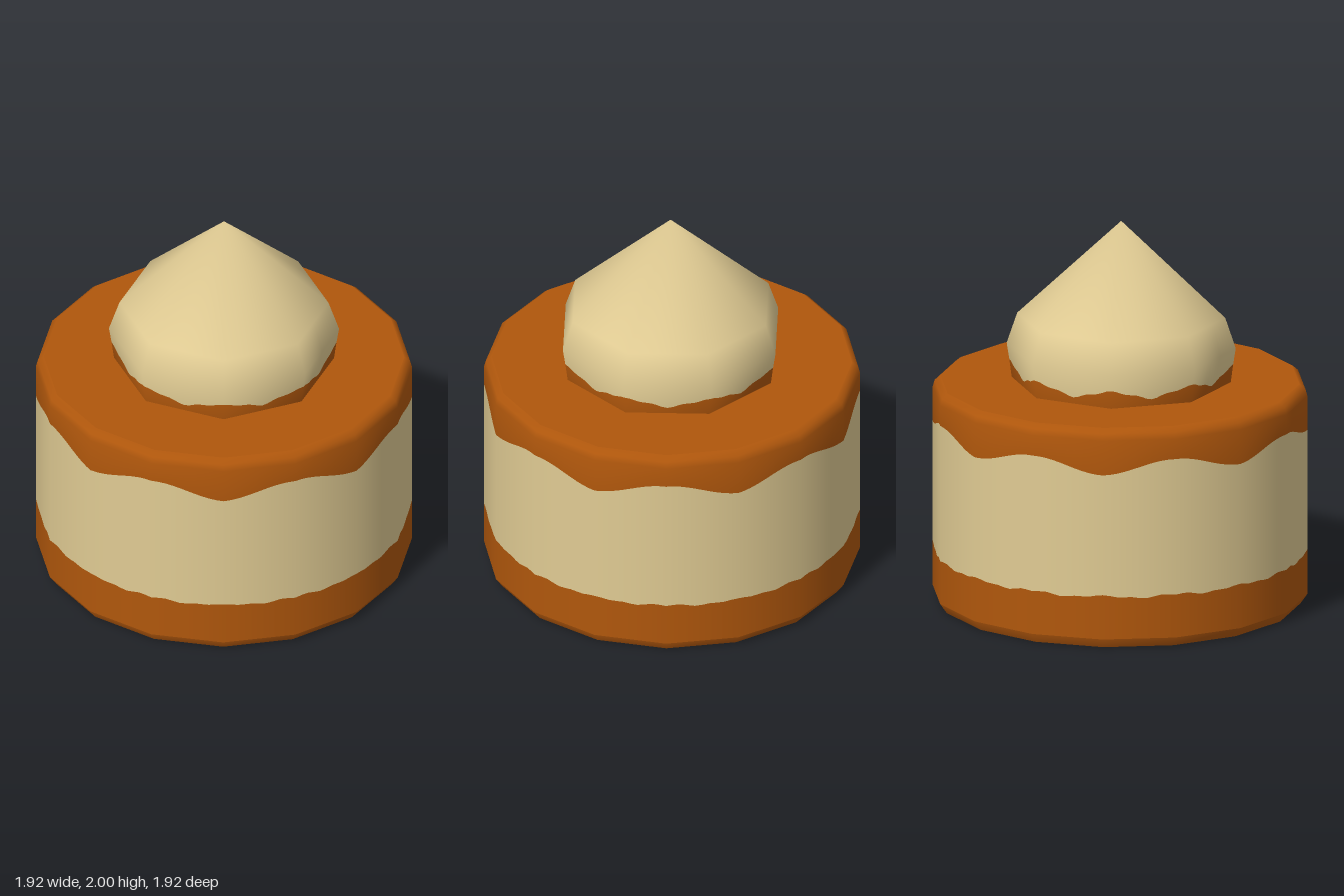
import * as THREE from 'three';

const sponge = new THREE.MeshStandardMaterial({ color: 0xb0570c });
sponge.name = 'caramel orange';
const cream = new THREE.MeshStandardMaterial({ color: 0xe0cb93 });
cream.name = 'cream';

// Faceted ring surface with smooth normals. Each row runs bottom to top and
// gives [radius, y, outward normal, upward normal], fixed or by angle.
function ringSurface(name, material, sides, sub, rows) {
  const pos = [], nor = [], index = [];
  const n = sides * sub;
  const step = (Math.PI * 2) / sides;
  for (const row of rows) {
    for (let i = 0; i <= n; i++) {
      const a = Math.floor(i / sub) * step, f = (i % sub) / sub;
      const [r, y, nr, ny] = typeof row === 'function' ? row(a + f * step) : row;
      const sx = Math.sin(a) * (1 - f) + Math.sin(a + step) * f;
      const sz = Math.cos(a) * (1 - f) + Math.cos(a + step) * f;
      const normal = new THREE.Vector3(sx * nr, ny, sz * nr).normalize();
      pos.push(sx * r, y, sz * r);
      nor.push(normal.x, normal.y, normal.z);
    }
  }
  for (let j = 0; j < rows.length - 1; j++) {
    for (let i = 0; i < n; i++) {
      const a = j * (n + 1) + i, d = a + n + 1;
      index.push(a, a + 1, d + 1, a, d + 1, d);
    }
  }
  const geo = new THREE.BufferGeometry();
  geo.setAttribute('position', new THREE.Float32BufferAttribute(pos, 3));
  geo.setAttribute('normal', new THREE.Float32BufferAttribute(nor, 3));
  geo.setIndex(index);
  const mesh = new THREE.Mesh(geo, material);
  mesh.name = name;
  return mesh;
}

function disc(name, radius, y, turn) {
  const mesh = new THREE.Mesh(new THREE.CircleGeometry(radius, 16), sponge);
  mesh.name = name;
  mesh.rotation.x = turn;
  mesh.position.y = y;
  return mesh;
}

export function createModel() {
  const model = new THREE.Group();
  model.name = 'smallCake';
  const R = 0.96;

  // Wavy borders between the colours
  const baseEdge = (t) => [R, 0.273 + 0.008 * Math.cos(16 * t) + 0.004 * Math.cos(40 * t), 1, 0];
  const icingEdge = (t) => [R, 0.957 - 0.038 * Math.cos(8 * t), 1, 0];
  const dollopEdge = (t) => {
    const y = 1.225 + 0.025 * Math.cos(8 * t) + 0.006 * Math.cos(24 * t);
    const k = (y - 1.15) / 0.19;
    return [0.56 + 0.025 * k, y, 1, -0.13 + 0.25 * k];
  };

  // Cake body
  model.add(
    disc('cakeUnderside', 0.925, 0, Math.PI / 2),
    ringSurface('bottomBevel', sponge, 16, 1, [[0.925, 0, 0.85, -0.5], [R, 0.05, 0.92, -0.3]]),
    ringSurface('cakeBase', sponge, 16, 10, [[R, 0.05, 1, 0], baseEdge]),
    ringSurface('creamBand', cream, 16, 10, [baseEdge, icingEdge]),
    ringSurface('icingDrips', sponge, 16, 10, [icingEdge, [R, 1.1, 1, 0.15]]),
    ringSurface('icingRim', sponge, 16, 1, [[R, 1.1, 1, 0.15], [0.95, 1.135, 0.8, 0.6], [0.92, 1.16, 0.2, 1]]),
    disc('icingTop', 0.92, 1.16, -Math.PI / 2),
  );

  // Whipped cream dollop with its stained foot
  const dollop = new THREE.Group();
  dollop.name = 'dollop';
  dollop.position.z = 0.008;
  dollop.add(
    ringSurface('dollopFoot', sponge, 8, 16, [[0.56, 1.15, 1, -0.13], dollopEdge]),
    ringSurface('dollopCream', cream, 8, 16, [
      dollopEdge, [0.587, 1.34, 1, 0.12], [0.533, 1.5, 0.82, 0.57], [0, 2, 0, 1],
    ]),
  );
  model.add(dollop);
  return model;
}
